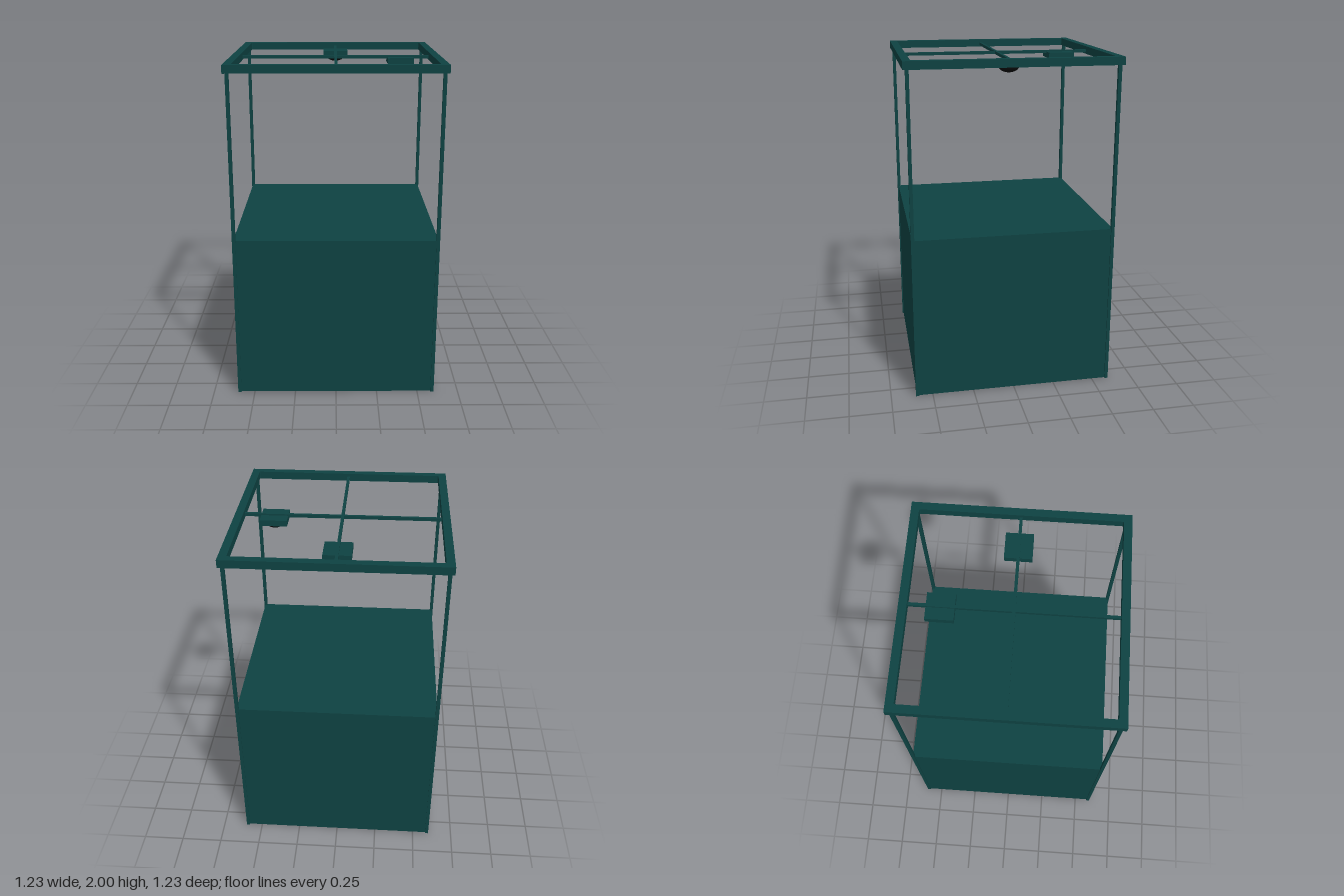
import * as THREE from 'three';

const teal = new THREE.MeshStandardMaterial({ color: 0x0e4242 });
const black = new THREE.MeshStandardMaterial({ color: 0x0c0c0c });

function box(parent, name, size, pos) {
  const mesh = new THREE.Mesh(new THREE.BoxGeometry(...size), teal);
  mesh.name = name;
  mesh.position.set(...pos);
  parent.add(mesh);
}

// Square outline with corners cut or rounded by r
function roundedSquare(Type, h, r) {
  const p = new Type();
  p.moveTo(-h + r, -h);
  p.lineTo(h - r, -h).quadraticCurveTo(h, -h, h, -h + r);
  p.lineTo(h, h - r).quadraticCurveTo(h, h, h - r, h);
  p.lineTo(-h + r, h).quadraticCurveTo(-h, h, -h, h - r);
  p.lineTo(-h, -h + r).quadraticCurveTo(-h, -h, -h + r, -h);
  return p;
}

// Flat lamp housing with a dark dome below
function makeLamp(name, x, z) {
  const lamp = new THREE.Group();
  lamp.name = name;
  box(lamp, 'lampHousing', [0.157, 0.035, 0.157], [0, 1.9545, 0]);
  const dome = new THREE.Mesh(
    new THREE.SphereGeometry(0.06, 32, 12, 0, Math.PI * 2, Math.PI / 2, Math.PI / 2), black);
  dome.name = 'lampDome';
  dome.scale.y = 0.6;
  dome.position.y = 1.937;
  lamp.add(dome);
  lamp.position.set(x, 0, z);
  return lamp;
}

export function createModel() {
  const model = new THREE.Group();
  model.name = 'displayStand';

  // Solid lower cabinet
  box(model, 'cabinet', [1.19, 0.987, 1.19], [0, 0.4955, 0]);

  // Corner posts
  for (const x of [-1, 1]) for (const z of [-1, 1])
    box(model, 'cornerPost', [0.02, 1.97, 0.02], [x * 0.592, 0.985, z * 0.592]);

  // Open top frame
  const outline = new THREE.Shape([[-1, -1], [1, -1], [1, 1], [-1, 1]]
    .map(([x, y]) => new THREE.Vector2(x * 0.616, y * 0.616)));
  outline.holes.push(roundedSquare(THREE.Path, 0.57, 0.008));
  const frameGeo = new THREE.ExtrudeGeometry(outline, { depth: 0.046, bevelEnabled: false, curveSegments: 4 });
  frameGeo.rotateX(-Math.PI / 2);
  const frame = new THREE.Mesh(frameGeo, teal);
  frame.name = 'topFrame';
  frame.position.y = 1.954;
  model.add(frame);

  // Crossed lamp rails
  box(model, 'sideToSideRail', [1.15, 0.018, 0.017], [0, 1.972, 0]);
  box(model, 'frontToBackRail', [0.017, 0.018, 1.15], [0, 1.972, 0]);

  // Lamps on the rails
  model.add(makeLamp('leftLamp', 0.395, 0), makeLamp('backLamp', 0, -0.395));

  return model;
}
